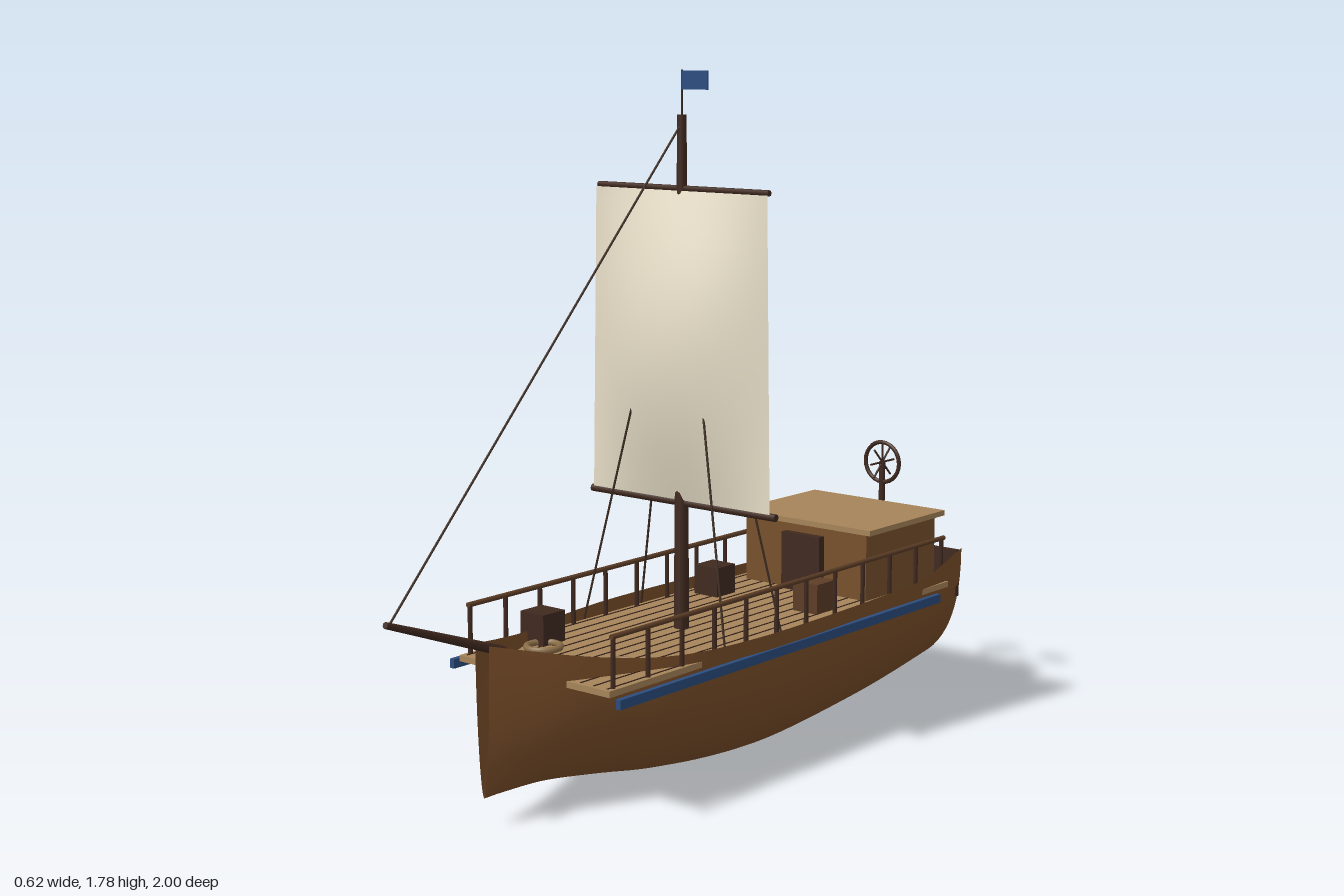
import * as THREE from 'three';

const mat = (name, color, double) => {
  const m = new THREE.MeshStandardMaterial({ color });
  m.name = name;
  if (double) m.side = THREE.DoubleSide;
  return m;
};

export function createModel() {
  const hullWood = mat('hull wood', 0x7a4e29, true);
  const deckWood = mat('deck wood', 0xa68459);
  const darkWood = mat('dark wood', 0x40291f);
  const railWood = mat('rail wood', 0x5c3d26);
  const cabinWood = mat('cabin wood', 0x78502d);
  const blue = mat('blue paint', 0x2b4c7e, true);
  const canvas = mat('sail canvas', 0xe8dfc8, true);
  const rope = mat('rope', 0x8a6d47);
  const rigging = mat('rigging', 0x3d2c22);

  const ship = new THREE.Group();
  ship.name = 'sailingShip';

  const add = (name, geo, material, x = 0, y = 0, z = 0) => {
    const m = new THREE.Mesh(geo, material);
    m.name = name;
    m.position.set(x, y, z);
    ship.add(m);
    return m;
  };
  // Box given by its x, y and z limits
  const box = (name, material, x0, x1, y0, y1, z0, z1) =>
    add(name, new THREE.BoxGeometry(x1 - x0, y1 - y0, z1 - z0), material,
      (x0 + x1) / 2, (y0 + y1) / 2, (z0 + z1) / 2);
  // Round bar between two points
  const bar = (name, material, a, b, r0, r1 = r0, sides = 8) => {
    const p = new THREE.Vector3(...a), q = new THREE.Vector3(...b);
    const d = q.clone().sub(p);
    const m = add(name, new THREE.CylinderGeometry(r1, r0, d.length(), sides), material);
    m.position.copy(p).add(q).multiplyScalar(0.5);
    m.quaternion.setFromUnitVectors(new THREE.Vector3(0, 1, 0), d.normalize());
    return m;
  };
  // Grid surface from a rule f(u, v) -> [x, y, z]
  const surface = (nu, nv, f) => {
    const g = new THREE.PlaneGeometry(1, 1, nu, nv);
    const p = g.attributes.position;
    for (let i = 0; i < p.count; i++) p.setXYZ(i, ...f(p.getX(i) + 0.5, p.getY(i) + 0.5));
    g.computeVertexNormals();
    return g;
  };

  // Hull: open shell lofted through stations [z, half width, keel y, sheer y]
  const stations = [
    [-1, 0.24, 0.075, 0.43], [-0.8, 0.25, 0.05, 0.378], [-0.6, 0.264, 0.028, 0.374],
    [-0.23, 0.278, 0.002, 0.374], [0, 0.274, 0.012, 0.374], [0.21, 0.243, 0.035, 0.375],
    [0.35, 0.19, 0.055, 0.384], [0.5, 0.125, 0.073, 0.41], [0.63, 0.055, 0.076, 0.44],
    [0.69, 0.023, 0.076, 0.455]
  ];
  const along = k => new THREE.CatmullRomCurve3(
    stations.map(s => new THREE.Vector3(s[k], 0, s[0])), false, 'centripetal');
  const widthCurve = along(1), keelCurve = along(2), sheerCurve = along(3);
  add('hull', surface(36, 48, (u, v) => {
    const w = widthCurve.getPoint(v), keel = keelCurve.getPoint(v).x;
    const sheer = sheerCurve.getPoint(v).x;
    const a = (u - 0.5) * Math.PI;
    const e = 2 / (2.4 - 0.6 * Math.max(0, (w.z - 0.2) / 0.5));
    const x = Math.sign(a) * Math.pow(Math.abs(Math.sin(a)), e) * w.x;
    const y = sheer - Math.pow(Math.max(0, Math.cos(a)), e) * (sheer - keel);
    return [x, y, w.z];
  }), hullWood);
  box('transom', darkWood, -0.235, 0.235, 0.29, 0.425, -0.998, -0.982);

  // Deck with plank seams
  box('deck', deckWood, -0.25, 0.25, 0.333, 0.349, -0.92, 0.52);
  for (let i = 0; i < 6; i++)
    for (const s of [-1, 1]) {
      const x = s * (0.021 + i * 0.0425);
      box('plankSeam', darkWood, x - 0.0015, x + 0.0015, 0.348, 0.351, -0.9, 0.51);
    }

  // Side stripes and railings
  for (const s of [-1, 1]) {
    const stripe = box('sideStripe', blue, -0.007, 0.007, 0.31, 0.334, -0.83, 0.52);
    stripe.position.x = s * 0.277;
    bar('handrail', railWood, [s * 0.238, 0.475, -0.91], [s * 0.238, 0.475, 0.5], 0.007);
    for (let i = 0; i < 12; i++) {
      const z = 0.493 - i * 0.1265;
      bar('railPost', darkWood, [s * 0.238, 0.345, z], [s * 0.238, 0.475, z], 0.006);
    }
  }

  // Cabin
  box('cabin', cabinWood, -0.207, 0.207, 0.345, 0.537, -0.91, -0.578);
  box('cabinRoof', deckWood, -0.228, 0.228, 0.535, 0.55, -0.927, -0.565);
  box('cabinDoor', darkWood, -0.065, 0.065, 0.349, 0.51, -0.579, -0.555);

  // Steering wheel: rim with crosswise spokes on a short post
  bar('wheelPost', darkWood, [0, 0.54, -0.945], [0, 0.66, -0.945], 0.009);
  add('wheelRim', new THREE.TorusGeometry(0.058, 0.006, 8, 28), darkWood, 0, 0.658, -0.945);
  for (let i = 0; i < 4; i++) {
    const a = i * Math.PI / 4, dy = Math.cos(a) * 0.057, dz = Math.sin(a) * 0.057;
    bar('wheelSpoke', darkWood, [0, 0.658 - dy, -0.945 - dz], [0, 0.658 + dy, -0.945 + dz], 0.003, 0.003, 6);
  }

  // Crates and rope coils
  const crate = (material, x, z) =>
    box('crate', material, x - 0.04, x + 0.04, 0.349, 0.43, z - 0.04, z + 0.04);
  crate(darkWood, -0.17, -0.39);
  crate(railWood, 0.153, -0.415);
  crate(darkWood, -0.182, 0.29);
  for (const s of [-1, 1])
    add('ropeCoil', new THREE.TorusGeometry(0.043, 0.009, 8, 24), rope, s * 0.128, 0.356, 0.345)
      .rotation.x = Math.PI / 2;

  // Mast, yards and bowsprit
  const mz = -0.043;
  bar('mast', darkWood, [0, 0.34, mz], [0, 1.675, mz], 0.02, 0.012, 14);
  bar('upperYard', darkWood, [-0.28, 1.49, mz], [0.28, 1.49, mz], 0.008);
  bar('lowerYard', darkWood, [-0.308, 0.682, mz], [0.308, 0.682, mz], 0.01);
  bar('bowsprit', darkWood, [0, 0.425, 0.62], [0, 0.563, 0.996], 0.013, 0.008, 10);

  // Billowing sail
  add('sail', surface(20, 24, (u, v) => [
    (u - 0.5) * (0.59 - 0.028 * v),
    0.69 + 0.795 * v,
    -0.033 + 0.08 * Math.sin(Math.PI * u) * Math.sin(Math.PI * v)
  ]), canvas);

  // Stays and shrouds
  bar('forestay', rigging, [0, 1.655, mz], [0, 0.56, 0.985], 0.003, 0.003, 6);
  for (const s of [-1, 1])
    for (const dz of [-0.115, 0.115])
      bar('shroud', rigging, [0, 1.5, mz], [s * 0.238, 0.355, mz + dz], 0.003, 0.003, 6);

  // Flag on its staff
  bar('flagStaff', rigging, [0, 1.67, mz], [0, 1.787, mz], 0.0025, 0.0025, 6);
  box('flag', blue, 0, 0.085, 1.738, 1.785, mz - 0.002, mz + 0.002);

  return ship;
}
